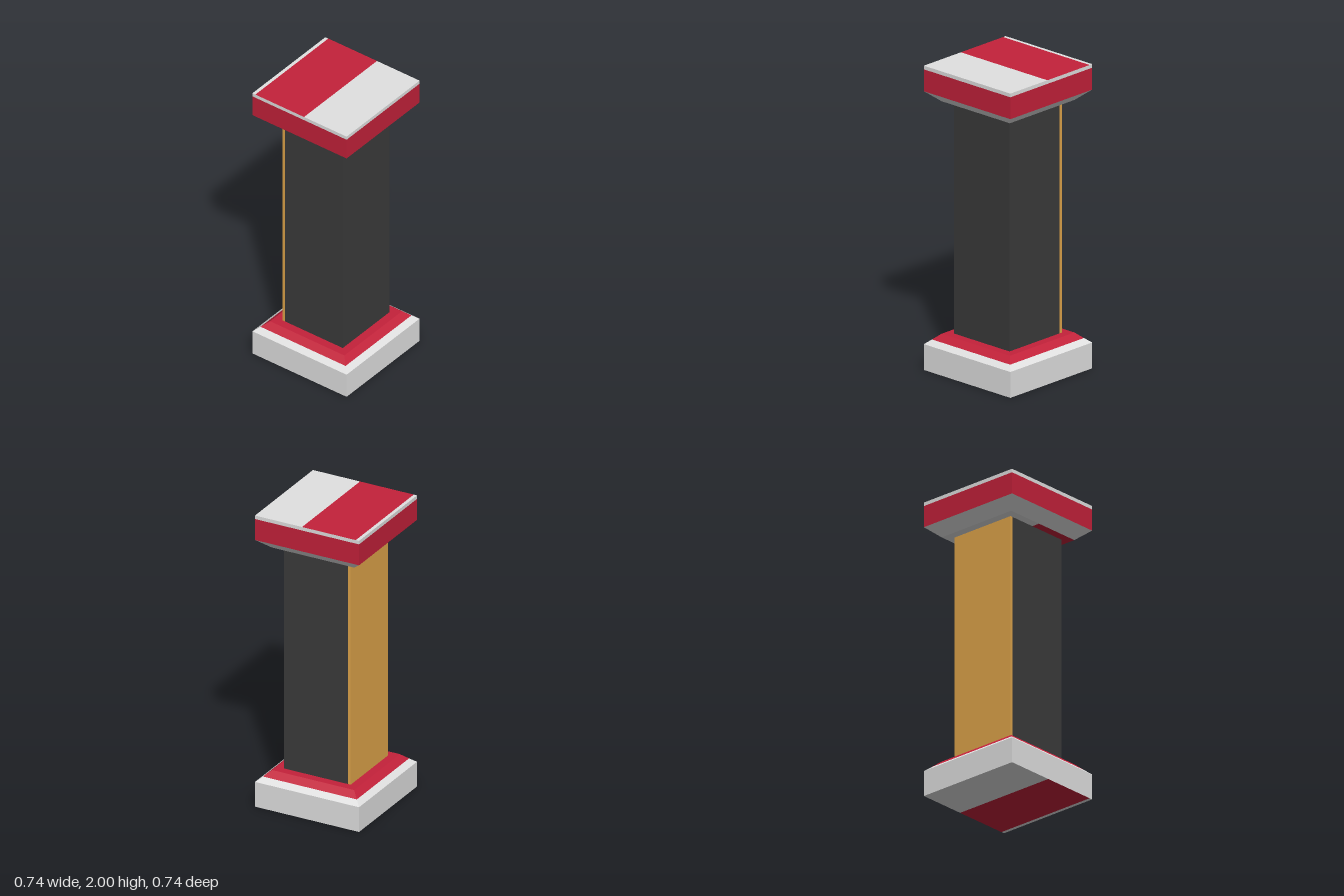
import * as THREE from 'three';

const OUTER = 0.368, INNER = 0.29, SHAFT = 0.235;

export function createModel() {
  const material = (name, color) => {
    const m = new THREE.MeshStandardMaterial({ color });
    m.name = name;
    return m;
  };
  const white = material('stone white', 0xe1e1e1);
  const red = material('crimson', 0xc4213a);
  const dark = material('charcoal', 0x3b3b3b);
  const gold = material('gold', 0xe0a54a);

  const model = new THREE.Group();
  model.name = 'pedestal';
  const add = (parent, name, geometry, mat) => {
    const mesh = new THREE.Mesh(geometry, mat);
    mesh.name = name;
    parent.add(mesh);
    return mesh;
  };

  // Four-sided open band between two heights, with flat sides
  const band = (parent, name, y0, y1, half0, half1, mat) => {
    const geo = new THREE.CylinderGeometry(half1 * Math.SQRT2, half0 * Math.SQRT2, y1 - y0, 4, 1, true)
      .rotateY(Math.PI / 4).toNonIndexed();
    geo.computeVertexNormals();
    add(parent, name, geo, mat).position.y = (y0 + y1) / 2;
  };

  // Flat horizontal strip from z0 to z1, facing up (1) or down (-1)
  const strip = (parent, name, y, half, z0, z1, facing, mat) => {
    const geo = new THREE.PlaneGeometry(half * 2, z1 - z0).rotateX(-facing * Math.PI / 2);
    add(parent, name, geo, mat).position.set(0, y, (z0 + z1) / 2);
  };

  // Base: plinth, two-tone bevel, red ledge and striped underside
  const base = new THREE.Group();
  base.name = 'base';
  band(base, 'plinthSides', 0, 0.17, OUTER, OUTER, white);
  band(base, 'bevelLower', 0.17, 0.2, OUTER, 0.332, white);
  band(base, 'bevelUpper', 0.2, 0.237, 0.332, INNER, red);
  strip(base, 'ledge', 0.237, INNER, -INNER, INNER, 1, red);
  strip(base, 'undersideBack', 0, OUTER, -OUTER, -0.035, -1, white);
  strip(base, 'undersideStripe', 0, OUTER, -0.035, 0.345, -1, red);
  strip(base, 'undersideEdge', 0, OUTER, 0.345, OUTER, -1, white);

  // Shaft with a gold panel on the back
  const shaft = new THREE.Group();
  shaft.name = 'shaft';
  const bottom = 0.237, top = 1.765, height = top - bottom, panel = 0.02;
  add(shaft, 'column', new THREE.BoxGeometry(SHAFT * 2, height, SHAFT * 2 - panel), dark)
    .position.set(0, (bottom + top) / 2, panel / 2);
  add(shaft, 'backPanel', new THREE.BoxGeometry(SHAFT * 2, height, panel), gold)
    .position.set(0, (bottom + top) / 2, -SHAFT + panel / 2);

  // Capital: bevel, red slab with white rim, striped top and underside
  const capital = new THREE.Group();
  capital.name = 'capital';
  strip(capital, 'undersideBack', top, INNER, -INNER, -0.035, -1, white);
  strip(capital, 'undersideFront', top, INNER, -0.035, INNER, -1, red);
  band(capital, 'bevel', top, 1.832, INNER, OUTER, white);
  band(capital, 'slabSides', 1.832, 1.976, OUTER, OUTER, red);
  band(capital, 'rim', 1.976, 2, OUTER, OUTER, white);
  strip(capital, 'topEdge', 2, OUTER, -OUTER, -0.345, 1, white);
  strip(capital, 'topStripe', 2, OUTER, -0.345, 0.035, 1, red);
  strip(capital, 'topFront', 2, OUTER, 0.035, OUTER, 1, white);

  model.add(base, shaft, capital);
  return model;
}
